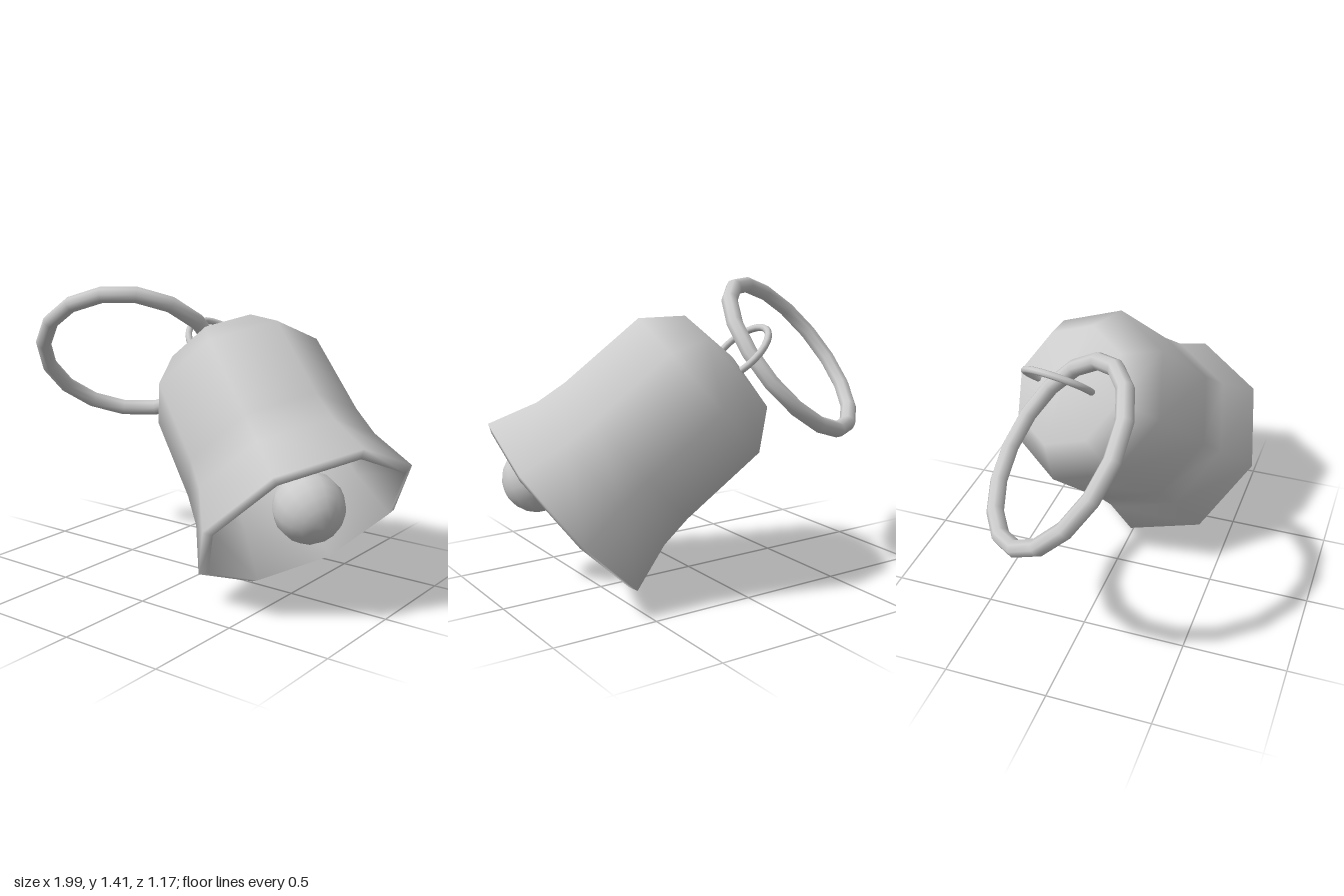
import * as THREE from 'three';

const V = (x, y, z) => new THREE.Vector3(x, y, z);

export function createModel() {
  const model = new THREE.Group();
  model.name = 'handBell';
  const material = new THREE.MeshStandardMaterial({ color: 0xcccccc });

  const add = (name, geometry, position, quaternion) => {
    const mesh = new THREE.Mesh(geometry, material);
    mesh.name = name;
    mesh.position.copy(position);
    mesh.quaternion.copy(quaternion);
    model.add(mesh);
  };

  // Rotation that sends local y along the given axis and local x towards the given side
  const frame = (axis, side) => {
    const x = side.clone().addScaledVector(axis, -side.dot(axis)).normalize();
    return new THREE.Quaternion().setFromRotationMatrix(
      new THREE.Matrix4().makeBasis(x, axis, x.clone().cross(axis)));
  };

  // Eight-sided bell shell with a bevelled lip: inner wall down, then outer wall up
  const mouth = V(0.613, 0.407, 0.083);
  const axis = V(-0.686, 0.658, -0.31).normalize();
  const profile = [
    [0, 0.985], [0.27, 0.948], [0.408, 0.8], [0.41, 0.38], [0.43, 0.219], [0.5, -0.02],
    [0.544, 0], [0.466, 0.225], [0.447, 0.38], [0.44, 0.818], [0.302, 0.984], [0, 1.024],
  ].map(([r, y]) => new THREE.Vector2(r, y));
  add('bellShell', new THREE.LatheGeometry(profile, 8), mouth, frame(axis, V(0.34, 0.4, 0.095)));

  // Hanging loop on the crown, its ends sunk into the shell
  const loop = new THREE.TorusGeometry(0.168, 0.017, 8, 16, Math.PI * 1.2).rotateZ(-Math.PI * 0.1);
  const loopCentre = mouth.clone().addScaledVector(axis, 1.065);
  loopCentre.y -= 0.01;
  add('crownLoop', loop, loopCentre, frame(axis, V(0.05, -0.02, -0.155)));

  // Clapper swung to one side: ball and rod
  const ballCentre = V(0.715, 0.52, 0.21);
  const rodDirection = V(-1.64, 0.71, -1).normalize();
  const rodLength = 0.97;
  const rodTurn = new THREE.Quaternion().setFromUnitVectors(V(0, 1, 0), rodDirection);
  add('clapperBall', new THREE.SphereGeometry(0.162, 14, 10), ballCentre, rodTurn);
  add('clapperRod', new THREE.CylinderGeometry(0.048, 0.048, rodLength, 8),
    ballCentre.clone().addScaledVector(rodDirection, rodLength / 2), rodTurn);

  // Large carrying ring
  add('carryingRing', new THREE.TorusGeometry(0.446, 0.04, 8, 16), V(-0.565, 1.028, -0.08),
    new THREE.Quaternion().setFromUnitVectors(V(0, 0, 1), V(0.415, -0.636, 0.65).normalize()));

  return model;
}
